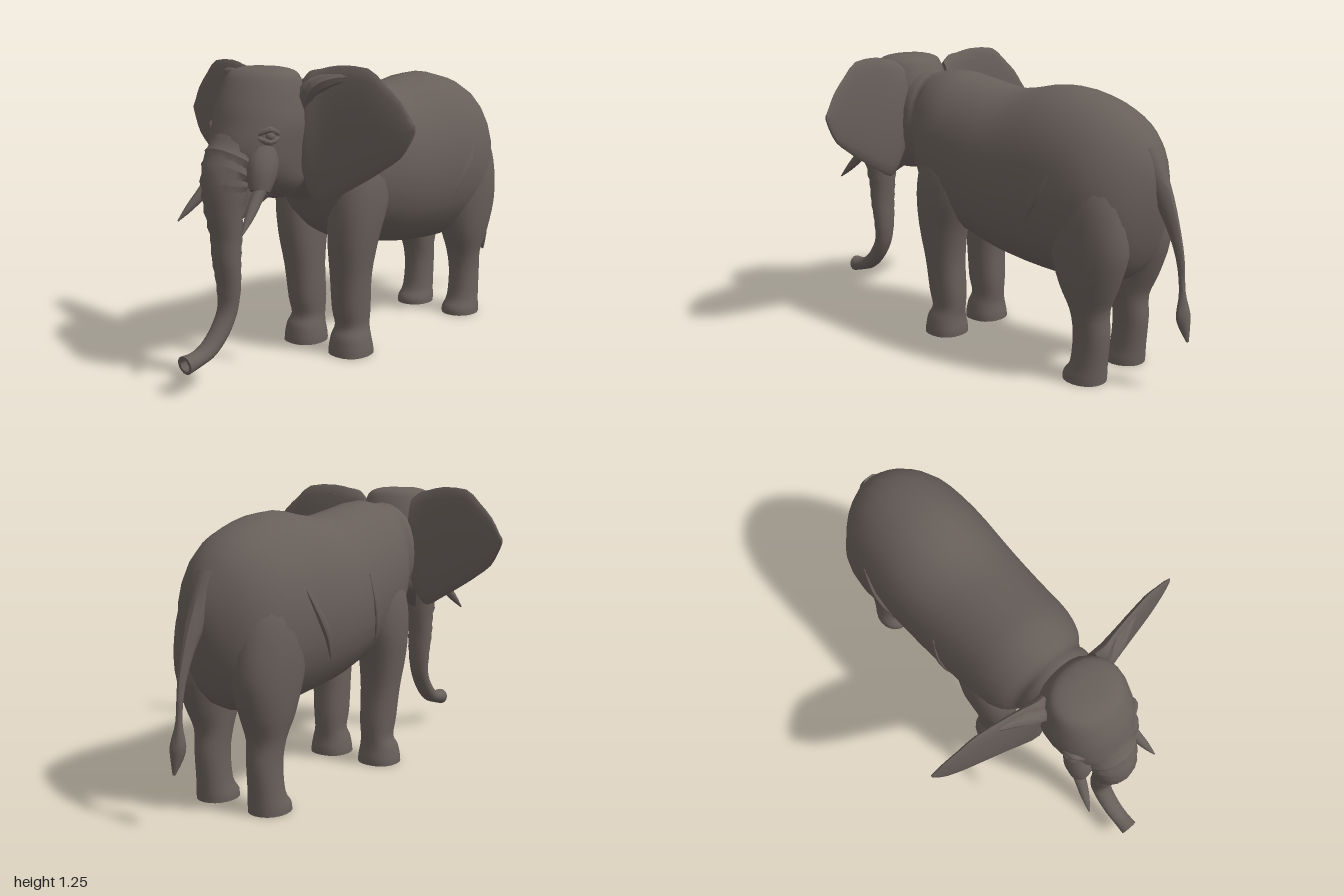
import * as THREE from 'three';
import { toCreasedNormals } from 'three/addons/utils/BufferGeometryUtils.js';

const hide = new THREE.MeshStandardMaterial({ color: 0x685f5a });
hide.name = 'greyHide';

// Insert splined rows between the given numeric rows
function refine(rows, steps) {
  const out = [];
  for (let i = 0; i < rows.length - 1; i++) {
    const a = rows[Math.max(i - 1, 0)], b = rows[i], c = rows[i + 1], d = rows[Math.min(i + 2, rows.length - 1)];
    for (let s = 0; s < steps; s++) {
      const t = s / steps, t2 = t * t, t3 = t2 * t;
      out.push(b.map((p, k) => p * (2 * t3 - 3 * t2 + 1) + c[k] * (3 * t2 - 2 * t3) +
        (c[k] - a[k]) / 2 * (t3 - 2 * t2 + t) + (d[k] - p) / 2 * (t3 - t2)));
    }
  }
  out.push(rows[rows.length - 1]);
  return out;
}

// Skin closed rings of points, cap both ends, and turn the faces outward
function skin(rings) {
  const n = rings[0].length, pos = [], index = [];
  rings.forEach(r => r.forEach(p => pos.push(p.x, p.y, p.z)));
  for (let i = 0; i < rings.length - 1; i++) {
    for (let j = 0; j < n; j++) {
      const a = i * n + j, b = i * n + (j + 1) % n;
      index.push(a, b, a + n, b, b + n, a + n);
    }
  }
  [0, rings.length - 1].forEach(i => {
    const c = new THREE.Vector3();
    rings[i].forEach(p => c.addScaledVector(p, 1 / n));
    const ci = pos.length / 3;
    pos.push(c.x, c.y, c.z);
    for (let j = 0; j < n; j++) {
      const a = i * n + j, b = i * n + (j + 1) % n;
      if (i === 0) index.push(ci, b, a); else index.push(ci, a, b);
    }
  });
  const at = k => new THREE.Vector3().fromArray(pos, index[k] * 3);
  let volume = 0;
  for (let k = 0; k < index.length; k += 3) volume += at(k).dot(at(k + 1).cross(at(k + 2)));
  if (volume < 0) index.reverse();
  const g = new THREE.BufferGeometry();
  g.setAttribute('position', new THREE.Float32BufferAttribute(pos, 3));
  g.setIndex(index);
  return toCreasedNormals(g, 0.7);
}

// Rounded sections along an axis; rows are [position, min1, max1, min2, max2]
function loft(axis, rows, { sides = 20, power = 2, steps = 3, mirror = 1 } = {}) {
  const [p, q] = { x: ['y', 'z'], y: ['x', 'z'], z: ['x', 'y'] }[axis];
  const bend = v => Math.sign(v) * Math.abs(v) ** (2 / power);
  return skin(refine(rows, steps).map(([w, a0, a1, b0, b1]) =>
    Array.from({ length: sides }, (_, j) => {
      const t = j / sides * Math.PI * 2, v = new THREE.Vector3();
      v[axis] = w;
      v[p] = (a0 + a1) / 2 + (a1 - a0) / 2 * bend(Math.cos(t));
      v[q] = (b0 + b1) / 2 + (b1 - b0) / 2 * bend(Math.sin(t));
      v.x *= mirror;
      return v;
    })));
}

// Tapering tube; rows are [x, y, z, side radius, depth radius]
function limb(rows, { sides = 12, steps = 3, mirror = 1, wrinkle = () => 1, hollow = false } = {}) {
  const r = refine(rows, steps);
  const mid = r.map(a => new THREE.Vector3(a[0] * mirror, a[1], a[2]));
  const rings = r.map((a, i) => {
    const t = mid[Math.min(i + 1, r.length - 1)].clone().sub(mid[Math.max(i - 1, 0)]).normalize();
    const u = new THREE.Vector3(1, 0, 0).addScaledVector(t, -t.x).normalize();
    const v = t.clone().cross(u);
    const k = wrinkle(a[1], i);
    return Array.from({ length: sides }, (_, j) => {
      const f = j / sides * Math.PI * 2;
      return mid[i].clone().addScaledVector(u, Math.cos(f) * a[3] * k).addScaledVector(v, Math.sin(f) * a[4] * k);
    });
  });
  if (hollow) {
    const end = mid[mid.length - 1], back = mid[mid.length - 3];
    const last = rings[rings.length - 1];
    rings.push(last.map(p => end.clone().lerp(p, 0.65)), last.map(p => back.clone().add(p.clone().sub(end).multiplyScalar(0.5))));
  }
  return skin(rings);
}

export function createModel() {
  const model = new THREE.Group();
  model.name = 'elephant';
  const add = (name, geometry) => {
    const m = new THREE.Mesh(geometry, hide);
    m.name = name;
    model.add(m);
    return m;
  };

  // Torso, from rump to neck
  add('body', loft('z', [
    [-0.85, -0.03, 0.03, 0.73, 0.86], [-0.82, -0.1, 0.1, 0.6, 0.94], [-0.75, -0.2, 0.2, 0.45, 1.045],
    [-0.62, -0.265, 0.27, 0.39, 1.125], [-0.4, -0.28, 0.285, 0.385, 1.172], [-0.15, -0.27, 0.28, 0.41, 1.135],
    [0.05, -0.26, 0.265, 0.46, 1.16], [0.2, -0.25, 0.255, 0.5, 1.185], [0.3, -0.22, 0.22, 0.58, 1.175],
    [0.36, -0.17, 0.17, 0.67, 1.165], [0.4, -0.175, 0.175, 0.7, 1.17], [0.5, -0.15, 0.15, 0.76, 1.16],
  ], { sides: 24, power: 2.05 }));

  // Skull
  add('head', loft('y', [
    [0.72, -0.08, 0.08, 0.44, 0.58], [0.78, -0.135, 0.135, 0.39, 0.68], [0.85, -0.16, 0.16, 0.37, 0.77],
    [0.93, -0.175, 0.175, 0.36, 0.79], [1.02, -0.187, 0.187, 0.365, 0.765], [1.1, -0.178, 0.178, 0.38, 0.74],
    [1.19, -0.158, 0.158, 0.42, 0.69], [1.222, -0.13, 0.13, 0.45, 0.655], [1.235, -0.08, 0.08, 0.5, 0.61],
  ], { sides: 24, power: 2.1 }));

  // Trunk with ringed wrinkles and an open tip
  add('trunk', limb([
    [0, 1.0, 0.66, 0.12, 0.09], [0, 0.9, 0.715, 0.115, 0.1], [0, 0.82, 0.765, 0.098, 0.086],
    [0, 0.72, 0.775, 0.08, 0.075], [0, 0.6, 0.766, 0.066, 0.06], [0, 0.5, 0.767, 0.062, 0.052],
    [0, 0.4, 0.76, 0.055, 0.043], [0, 0.3, 0.768, 0.046, 0.036], [0, 0.22, 0.81, 0.042, 0.036],
    [0, 0.16, 0.87, 0.04, 0.034], [0, 0.135, 0.93, 0.038, 0.031], [0, 0.125, 0.988, 0.04, 0.038],
  ], {
    sides: 16, steps: 4, hollow: true,
    wrinkle: (y, i) => (y < 0.35 || y > 0.92 ? 1 : i % 2 ? 1 + (y > 0.62 ? 0.07 : 0.03) : 0.98),
  }));

  // Lower jaw
  add('lowerJaw', limb([
    [0, 0.85, 0.5, 0.13, 0.09], [0, 0.785, 0.58, 0.1, 0.06], [0, 0.72, 0.645, 0.06, 0.04], [0, 0.652, 0.7, 0.018, 0.012],
  ]));

  // Tail with a broad root and a tuft
  add('tail', limb([
    [0, 0.95, -0.77, 0.06, 0.05], [0, 0.8, -0.845, 0.038, 0.045], [0, 0.68, -0.9, 0.022, 0.03],
    [0, 0.55, -0.942, 0.014, 0.018], [0, 0.42, -0.958, 0.013, 0.013], [0, 0.33, -0.966, 0.034, 0.026],
    [0, 0.28, -0.975, 0.026, 0.022], [0, 0.22, -0.992, 0.005, 0.005],
  ], { sides: 10 }));

  [1, -1].forEach(mirror => {
    const side = mirror > 0 ? 'left' : 'right';

    // Fan-shaped ear, thick at the root and thin at the rim
    add(side + 'Ear', loft('x', [
      [0.13, 0.82, 1.19, 0.42, 0.5], [0.17, 0.73, 1.22, 0.42, 0.515], [0.22, 0.7, 1.23, 0.42, 0.495],
      [0.3, 0.74, 1.245, 0.415, 0.475], [0.43, 0.815, 1.238, 0.4, 0.45], [0.5, 0.86, 1.185, 0.395, 0.435],
      [0.57, 0.91, 1.12, 0.388, 0.416], [0.61, 0.97, 1.06, 0.384, 0.402], [0.628, 1.01, 1.035, 0.384, 0.394],
    ], { mirror, steps: 2, power: 1.9 }));
    add(side + 'EarFold', limb([
      [0.15, 1.08, 0.49, 0.03, 0.03], [0.19, 1.15, 0.49, 0.04, 0.035],
      [0.27, 1.185, 0.46, 0.03, 0.03], [0.39, 1.2, 0.425, 0.008, 0.012],
    ], { mirror, sides: 8 }));

    // Cheek sheath with a blunt lip, and the tusk growing out of it
    add(side + 'Cheek', limb([
      [0.1, 0.98, 0.64, 0.05, 0.05], [0.118, 0.89, 0.675, 0.058, 0.068],
      [0.128, 0.83, 0.695, 0.054, 0.062], [0.138, 0.775, 0.712, 0.036, 0.042],
    ], { mirror }));
    add(side + 'Tusk', limb([
      [0.143, 0.82, 0.69, 0.025, 0.025], [0.152, 0.75, 0.745, 0.024, 0.024],
      [0.17, 0.69, 0.8, 0.017, 0.017], [0.187, 0.638, 0.85, 0.003, 0.003],
    ], { mirror, sides: 10 }));

    // Eye and lids
    const eye = add(side + 'Eye', new THREE.SphereGeometry(0.02, 12, 8));
    eye.position.set(0.158 * mirror, 0.985, 0.672);
    [[0.025, 'UpperLid'], [-0.022, 'LowerLid']].forEach(([dy, name]) => add(side + name, limb([
      [0.132, 0.985 + dy * 0.3, 0.71, 0.008, 0.008], [0.163, 0.985 + dy, 0.68, 0.013, 0.013],
      [0.172, 0.985 + dy * 0.3, 0.64, 0.008, 0.008],
    ], { mirror, sides: 8 })));

    // Legs, with flared feet, tapering into shoulder and thigh
    add(side + 'FrontLeg', loft('y', [
      [0, 0.042, 0.228, 0.1, 0.287], [0.03, 0.043, 0.226, 0.1, 0.285], [0.08, 0.052, 0.216, 0.108, 0.275],
      [0.125, 0.062, 0.2, 0.105, 0.255], [0.2, 0.056, 0.206, 0.1, 0.272], [0.35, 0.053, 0.22, 0.105, 0.285],
      [0.5, 0.05, 0.245, 0.08, 0.305], [0.65, 0.05, 0.262, 0.03, 0.308], [0.78, 0.05, 0.257, 0.03, 0.285],
      [0.92, 0.05, 0.215, 0.06, 0.24],
    ], { mirror, power: 2.3 }));
    add(side + 'HindLeg', loft('y', [
      [0, 0.055, 0.222, -0.695, -0.51], [0.03, 0.056, 0.22, -0.697, -0.513], [0.08, 0.066, 0.21, -0.7, -0.545],
      [0.2, 0.07, 0.205, -0.71, -0.553], [0.3, 0.062, 0.215, -0.705, -0.538], [0.4, 0.05, 0.24, -0.745, -0.49],
      [0.55, 0.03, 0.262, -0.79, -0.44], [0.7, 0.03, 0.268, -0.78, -0.43], [0.82, 0.03, 0.25, -0.75, -0.46],
      [0.95, 0.04, 0.2, -0.68, -0.52],
    ], { mirror, power: 2.1 }));

    // Skin folds behind the shoulder and ahead of the thigh
    [[[0.21, 0.6, 0.03], [0.24, 0.67, 0], [0.261, 0.78, -0.04], [0.252, 0.9, -0.07]],
      [[0.24, 0.58, -0.33], [0.274, 0.69, -0.4], [0.28, 0.78, -0.46], [0.265, 0.88, -0.52]]].forEach(path => {
      const rows = path.map(([x, y, z], i) => [x, y, z, i % 3 ? 0.012 : 0.004, i % 3 ? 0.018 : 0.005]);
      add(side + 'SkinFold', limb(rows, { mirror, sides: 8 }));
    });
  });

  return model;
}
